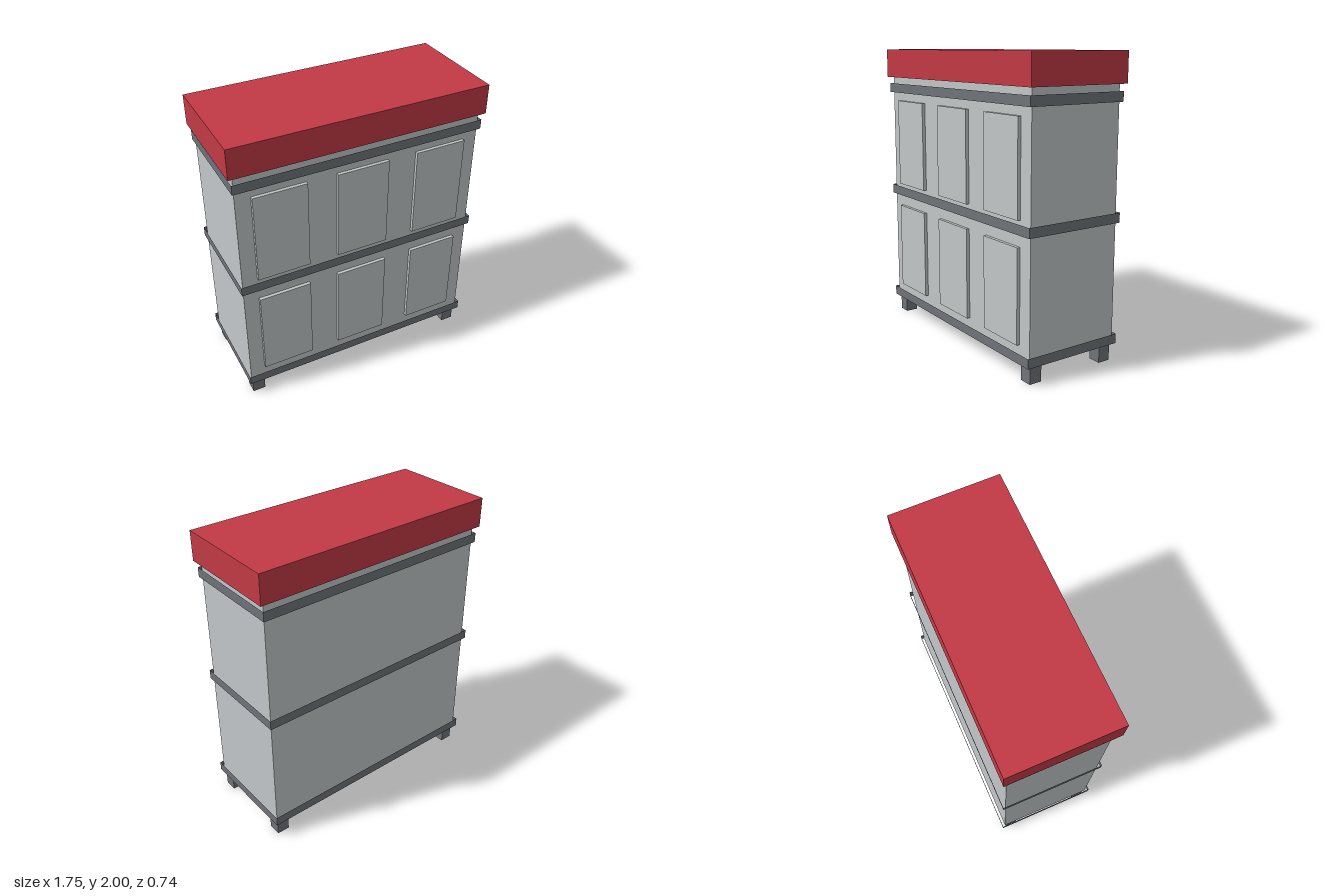
import * as THREE from 'three';

const paint = (name, color, side = THREE.FrontSide) => {
  const m = new THREE.MeshStandardMaterial({ color, side });
  m.name = name;
  return m;
};

// Box walls without top and bottom
function openBox(w, h, d) {
  const g = new THREE.BoxGeometry(w, h, d);
  const index = Array.from(g.index.array);
  index.splice(12, 12);
  g.setIndex(index);
  g.clearGroups();
  return g;
}

export function createModel() {
  const lightGrey = paint('light grey', 0xc3c7c9, THREE.DoubleSide);
  const darkGrey = paint('dark grey', 0x6f747a, THREE.DoubleSide);
  const red = paint('red', 0xc23a45);

  const model = new THREE.Group();
  model.name = 'cabinet';
  const add = (name, geometry, material, x, y, z) => {
    const mesh = new THREE.Mesh(geometry, material);
    mesh.name = name;
    mesh.position.set(x, y, z);
    model.add(mesh);
  };

  // Hollow body, open underneath
  add('body', openBox(1.68, 1.685, 0.675), lightGrey, 0, 0.9575, 0);

  // Lid
  add('lid', new THREE.BoxGeometry(1.75, 0.2, 0.74), red, 0, 1.9, 0);

  // Bands around the body
  for (const y of [0.15, 0.96, 1.722])
    add('band', openBox(1.71, 0.065, 0.718), darkGrey, 0, y, 0);

  // Front door panels, three per tier
  for (const y of [0.54, 1.323])
    for (const x of [-0.56, 0, 0.56])
      add('doorPanel', new THREE.BoxGeometry(0.357, 0.617, 0.023), lightGrey, x, y, 0.3485);

  // Hollow legs at the corners
  for (const x of [-0.786, 0.786])
    for (const z of [-0.282, 0.282])
      add('leg', openBox(0.088, 0.118, 0.088), darkGrey, x, 0.059, z);

  return model;
}
